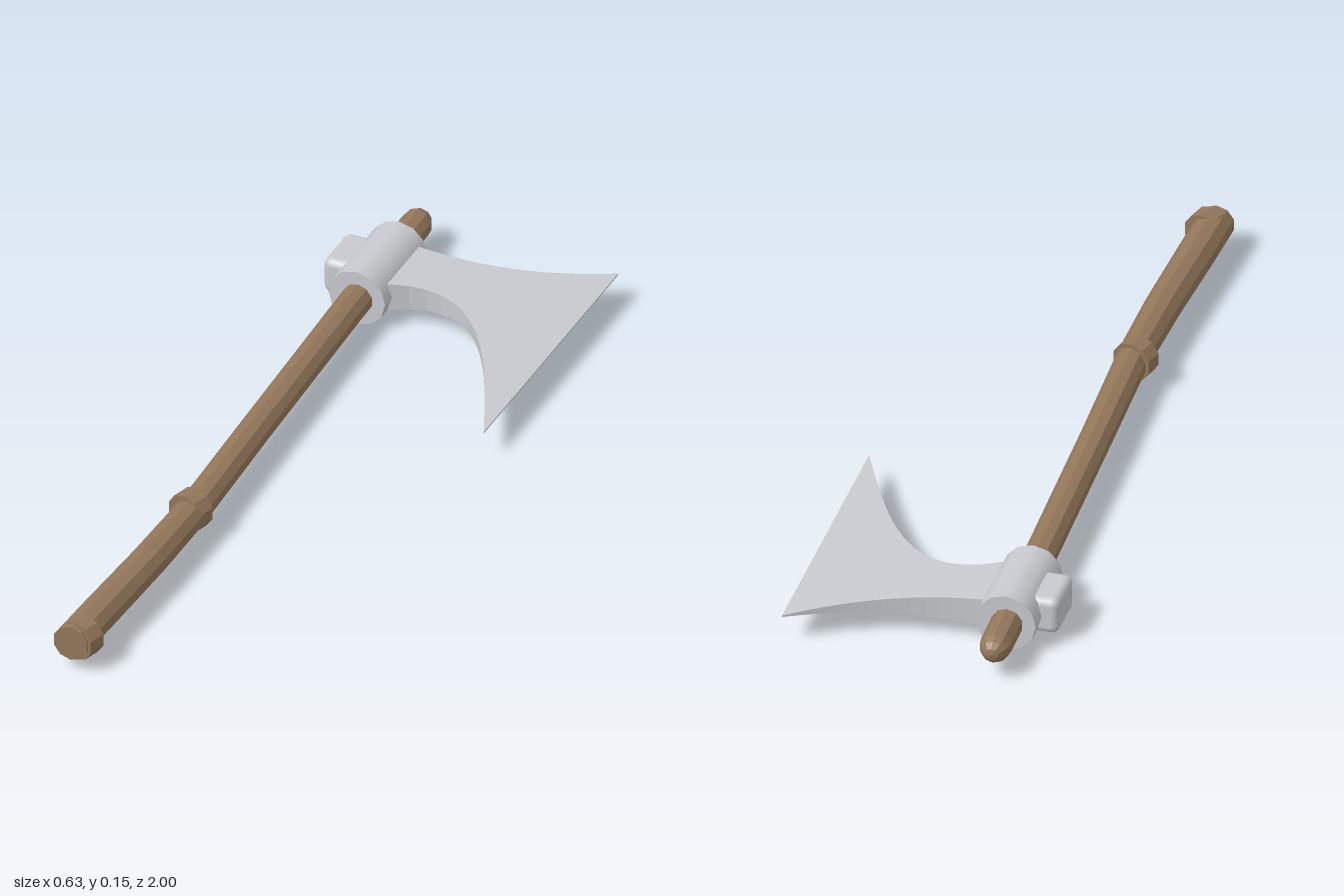
import * as THREE from 'three';
import { RoundedBoxGeometry } from 'three/addons/geometries/RoundedBoxGeometry.js';

const MID_Y = 0.075;

export function createModel() {
  const group = new THREE.Group();
  const wood = new THREE.MeshStandardMaterial({ color: 0x93775a, flatShading: true });
  const steel = new THREE.MeshStandardMaterial({ color: 0xc8cacf });

  const add = (name, geometry, material, x = 0, z = 0) => {
    const mesh = new THREE.Mesh(geometry, material);
    mesh.name = name;
    mesh.position.set(x, MID_Y, z);
    group.add(mesh);
    return mesh;
  };

  // Centre line of the handle: x offset for a given z
  const line = [[-1, -0.209], [-0.55, -0.198], [0, -0.18], [0.35, -0.166], [0.6, -0.17], [0.85, -0.181], [1, -0.187]];
  const centreX = (z) => {
    let i = 0;
    while (i < line.length - 2 && z > line[i + 1][0]) i++;
    const [z0, x0] = line[i], [z1, x1] = line[i + 1];
    return x0 + (x1 - x0) * (z - z0) / (z1 - z0);
  };

  // Ten-sided turned rod along z, bent to follow the centre line
  const bentRod = (profile) => {
    const g = new THREE.LatheGeometry(profile.map(([r, z]) => new THREE.Vector2(r, z)), 10);
    g.rotateX(Math.PI / 2);
    const p = g.attributes.position;
    for (let i = 0; i < p.count; i++) p.setX(i, p.getX(i) + centreX(p.getZ(i)));
    g.computeVertexNormals();
    return g;
  };

  // Shaft with a domed tip, and the slightly thicker grip
  add('shaft', bentRod([[0, -1], [0.016, -0.996], [0.029, -0.983], [0.037, -0.966], [0.039, -0.945],
    [0.039, -0.55], [0.039, 0], [0.04, 0.36]]), wood);
  add('grip', bentRod([[0, 0.35], [0.041, 0.35], [0.044, 0.6], [0.046, 0.85], [0.046, 1], [0, 1]]), wood);

  // Tilted wooden collars at both ends of the grip
  [['upperCollar', -0.172, 0.367], ['endCollar', -0.176, 0.962]].forEach(([name, x, z]) => {
    const g = new THREE.CylinderGeometry(0.051, 0.051, 0.046, 10).rotateX(Math.PI / 2);
    add(name, g, wood, x, z).rotation.y = -0.27;
  });

  // Steel socket around the shaft and the hammer block behind it
  add('socket', new THREE.CylinderGeometry(0.074, 0.074, 0.236, 12).rotateX(Math.PI / 2), steel, -0.202, -0.731);
  add('hammerBlock', new RoundedBoxGeometry(0.1, 0.095, 0.137, 3, 0.02), steel, -0.267, -0.732);

  // Blade outline, drawn with x to the edge and the second axis towards -z
  const outline = new THREE.Shape();
  outline.moveTo(-0.17, 0.822);
  outline.lineTo(-0.135, 0.822);
  outline.bezierCurveTo(0.03, 0.822, 0.17, 0.87, 0.314, 0.968);
  outline.lineTo(0.314, 0.225);
  outline.bezierCurveTo(0.19, 0.5, 0.08, 0.76, -0.135, 0.648);
  outline.lineTo(-0.17, 0.648);
  const blade = new THREE.ExtrudeGeometry(outline, { depth: 1, bevelEnabled: false, curveSegments: 14 });
  blade.translate(0, 0, -0.5).rotateX(-Math.PI / 2);
  // Taper the thickness from the socket to the cutting edge
  const p = blade.attributes.position;
  for (let i = 0; i < p.count; i++) {
    const half = THREE.MathUtils.mapLinear(p.getX(i), -0.135, 0.314, 0.037, 0.002);
    p.setY(i, Math.sign(p.getY(i)) * half);
  }
  blade.computeVertexNormals();
  add('blade', blade, steel);

  return group;
}
